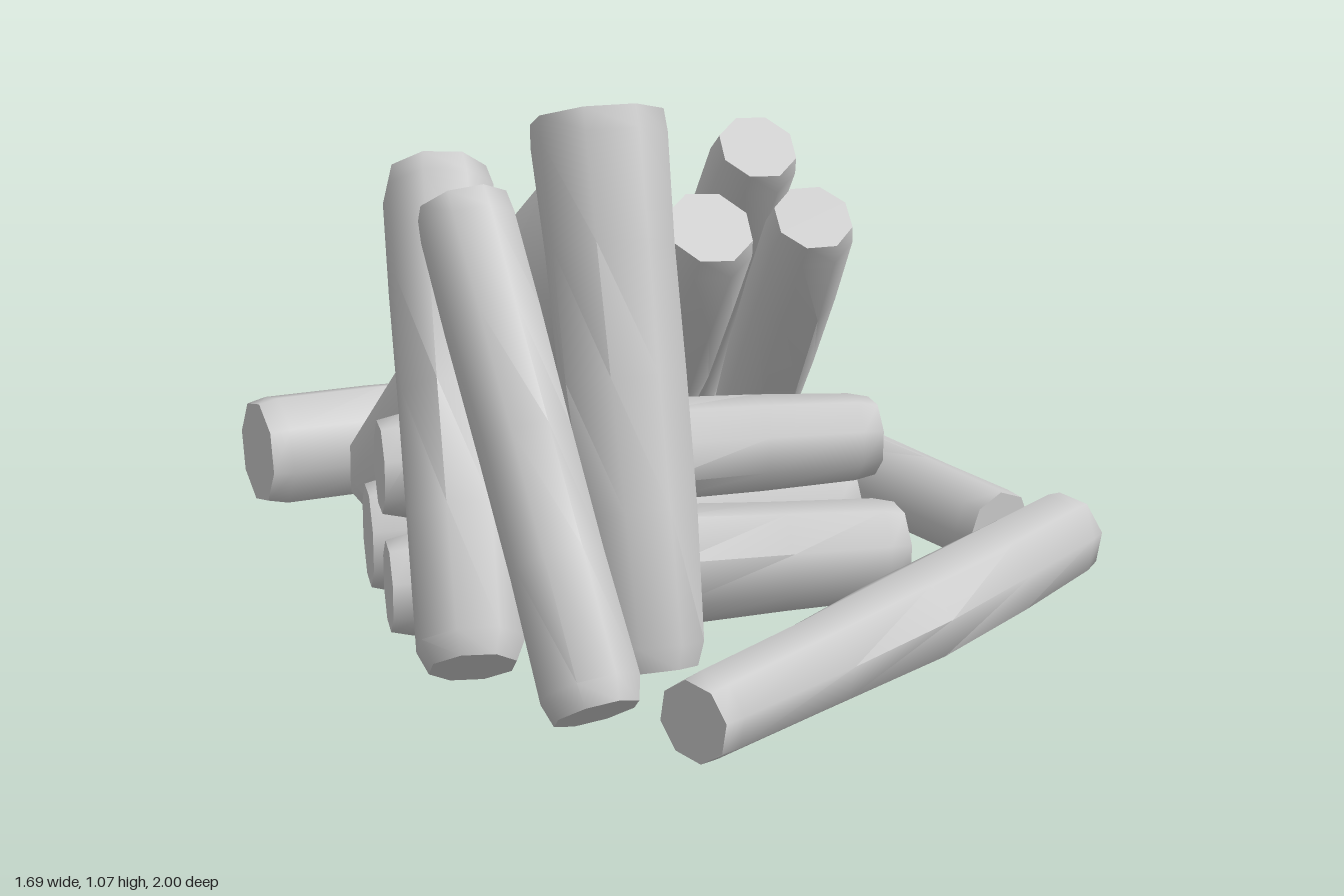
import * as THREE from 'three';
import { toCreasedNormals } from 'three/addons/utils/BufferGeometryUtils.js';

const SIDES = 8;
const UP = new THREE.Vector3(0, 1, 0);

// One rough-hewn log from a to b. radii = [start, middle, end];
// bevel = how far each end narrows (1 = cut square).
function makeLog(name, a, b, radii, bevel = [0.85, 0.85], bow = 0, seed = 0) {
  const start = new THREE.Vector3(...a), end = new THREE.Vector3(...b);
  const dir = end.clone().sub(start);
  const length = dir.length();
  const [r0, r1, r2] = radii;
  const inset = 0.045 / length;
  const profile = [
    [0, 0], [r0 * bevel[0], 0], [r0, inset], [(r0 + r1) / 2, 0.28],
    [r1, 0.52], [(r1 + r2) / 2, 0.76], [r2, 1 - inset], [r2 * bevel[1], 1], [0, 1],
  ].map(([r, t]) => new THREE.Vector2(r, t * length));
  const lathe = new THREE.LatheGeometry(profile, SIDES, Math.PI / SIDES);

  // Uneven hewn surface: gentle waves around and along the trunk
  const p = lathe.attributes.position;
  for (let i = 0; i < p.count; i++) {
    const x = p.getX(i), y = p.getY(i), z = p.getZ(i);
    const t = y / length, angle = Math.atan2(z, x);
    const swell = Math.sin(Math.PI * t);
    const k = 1 + 0.045 * swell * Math.sin(2 * angle + 5 * t + seed);
    p.setXYZ(i, x * k + bow * swell, y, z * k);
  }
  lathe.applyQuaternion(new THREE.Quaternion().setFromUnitVectors(UP, dir.normalize()));
  lathe.translate(start.x, start.y, start.z);
  // Keep everything on the ground
  for (let i = 0; i < p.count; i++) p.setY(i, Math.max(0, p.getY(i)));

  const mesh = new THREE.Mesh(
    toCreasedNormals(lathe, 0.87),
    new THREE.MeshStandardMaterial({ color: 0xcccccc }),
  );
  mesh.name = name;
  return mesh;
}

export function createModel() {
  const model = new THREE.Group();
  model.name = 'logPile';
  const group = (name, logs) => {
    const g = new THREE.Group();
    g.name = name;
    logs.forEach((l, i) => g.add(makeLog(l[0], l[1], l[2], l[3], l[4], l[5], i * 1.7)));
    model.add(g);
  };

  // Three logs lying around the pile
  group('borderLogs', [
    ['backLog', [-0.82, 0.155, -0.67], [0.195, 0.135, -0.905], [0.13, 0.125, 0.105], [0.92, 0.95]],
    ['leftSideLog', [0.31, 0.15, -0.79], [0.665, 0.118, 0.165], [0.095, 0.09, 0.088], [0.95, 0.95]],
    ['frontLog', [-0.215, 0.105, 0.935], [0.79, 0.12, 0.225], [0.08, 0.1, 0.095], [0.95, 0.92], 0.01],
  ]);

  // Stack of three level logs in the middle
  group('stackedLogs', [
    ['lowerFrontLog', [-0.64, 0.13, 0.21], [0.41, 0.125, 0.235], [0.1, 0.125, 0.105], [0.9, 0.9]],
    ['lowerBackLog', [-0.64, 0.13, -0.1], [0.41, 0.125, -0.08], [0.12, 0.125, 0.105], [0.9, 0.9]],
    ['upperLog', [-0.63, 0.325, 0.05], [0.41, 0.315, 0.06], [0.105, 0.105, 0.092], [0.9, 0.9]],
  ]);

  // Logs propped against each other, each given from foot to top
  group('leaningLogs', [
    ['tallLog', [-0.19, 0.04, 0.54], [-0.21, 1.04, 0.195], [0.105, 0.125, 0.135], [0.85, 0.97]],
    ['outerLog', [-0.53, 0.08, 0.54], [-0.475, 0.885, -0.11], [0.105, 0.115, 0.115], [0.8, 0.9]],
    ['thinFrontLog', [-0.35, 0.07, 0.78], [-0.475, 0.88, 0.2], [0.095, 0.09, 0.095], [0.85, 0.95]],
    ['thickDiagonalLog', [-0.54, 0.1, -0.475], [-0.125, 0.88, 0.035], [0.135, 0.15, 0.125], [0.8, 0.92]],
    ['highBackLog', [0.1, 0.085, -0.65], [0.125, 0.96, 0.155], [0.095, 0.098, 0.088], [0.8, 0.9]],
    ['rearEndLog', [0.24, 0.085, -0.42], [0.215, 0.83, 0.24], [0.085, 0.095, 0.088], [0.8, 0.9]],
    ['rearMiddleLog', [-0.04, 0.085, -0.43], [0.005, 0.82, 0.235], [0.09, 0.105, 0.098], [0.8, 0.9]],
  ]);

  return model;
}
